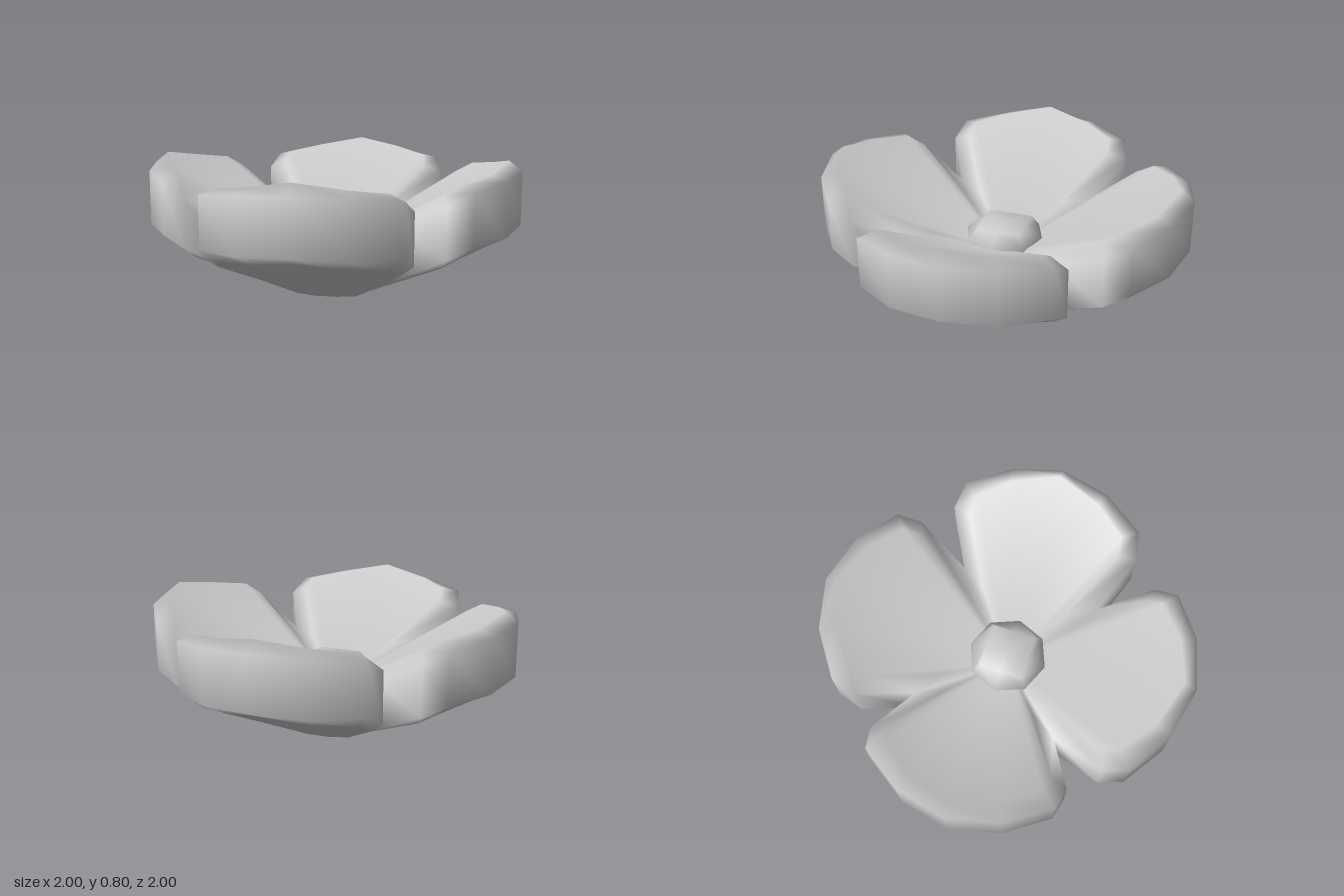
import * as THREE from 'three';
import { mergeVertices } from 'three/addons/utils/BufferGeometryUtils.js';

const top = [0, 0.25, 0];
const notchTop = [0.6, 0.46, 0];
const notchLow = [0.6, 0.165, 0];

// Rings around half a petal, from the seam to the tip, as [x, y, z].
const rings = [
  // rim of the inner face, starting with the groove beside the seam
  [top, [0.42, 0.45, 0.05], [0.82, 0.665, 0.16], [0.88, 0.72, 0.24], [0.85, 0.755, 0.48], [0.725, 0.8, 0.725]],
  // upper edge of the outer wall
  [notchTop, notchTop, [0.92, 0.62, 0.11], [0.995, 0.695, 0.23], [0.94, 0.725, 0.52], [0.78, 0.74, 0.78]],
  // lower edge of the outer wall
  [notchLow, notchLow, [0.92, 0.33, 0.11], [0.995, 0.4, 0.23], [0.94, 0.41, 0.52], [0.78, 0.43, 0.78]],
  // rim of the underside
  [notchLow, notchLow, [0.84, 0.27, 0.14], [0.88, 0.32, 0.24], [0.82, 0.345, 0.48], [0.69, 0.375, 0.69]],
  // foot
  [[0.25, 0, 0], [0.25, 0, 0], [0.22, 0, 0.05], [0.2, 0, 0.1], [0.17, 0, 0.13], [0.15, 0, 0.15]],
];

// Mirror a half ring about the diagonal, then turn all but the seam slightly
function petalRing(half) {
  const turn = 0.02;
  const full = [...half, ...half.slice(0, -1).reverse().map(([x, y, z]) => [z, y, x])];
  return full.map(([x, y, z]) => (x * z === 0 ? [x, y, z] : [x + turn * z, y, z - turn * x]));
}

// Four petals joined at their seams, one per quarter turn
function petalsGeometry() {
  const n = 11;
  const loops = [Array(n).fill(top), ...rings.map(petalRing), Array(n).fill([0, 0, 0])];
  const position = [];
  const index = [];
  let quarter = loops.flat();
  for (let q = 0; q < 4; q++) {
    const start = q * quarter.length;
    position.push(...quarter.flat());
    for (let k = 0; k < loops.length - 1; k++) {
      for (let i = 0; i < n - 1; i++) {
        const a = start + k * n + i, b = a + 1, c = a + n, d = c + 1;
        index.push(a, b, c, b, d, c);
      }
    }
    quarter = quarter.map(([x, y, z]) => [z, y, -x]);
  }
  let geo = new THREE.BufferGeometry();
  geo.setAttribute('position', new THREE.Float32BufferAttribute(position, 3));
  geo.setIndex(index);
  geo = mergeVertices(geo);
  geo.computeVertexNormals();
  return geo;
}

// Eight-sided dome whose upper ring narrows to a square
function centreGeometry() {
  const profile = [[0.2, 0.2], [0.235, 0.375], [0.185, 0.44], [0, 0.445]];
  const geo = new THREE.LatheGeometry(profile.map(([r, y]) => new THREE.Vector2(r, y)), 8);
  const pos = geo.attributes.position;
  for (let i = 0; i < pos.count; i++) {
    const column = Math.floor(i / profile.length);
    if (i % profile.length === 2 && column % 2 === 1) {
      pos.setXYZ(i, pos.getX(i) * 0.72, pos.getY(i), pos.getZ(i) * 0.72);
    }
  }
  geo.computeVertexNormals();
  geo.deleteAttribute('uv');
  geo.deleteAttribute('normal');
  const merged = mergeVertices(geo);
  merged.computeVertexNormals();
  return merged;
}

export function createModel() {
  const group = new THREE.Group();
  group.name = 'flower';
  const material = new THREE.MeshStandardMaterial({ color: 0xcccccc });

  const petals = new THREE.Mesh(petalsGeometry(), material);
  petals.name = 'petals';
  group.add(petals);

  const centre = new THREE.Mesh(centreGeometry(), material);
  centre.name = 'flowerCentre';
  group.add(centre);

  return group;
}
